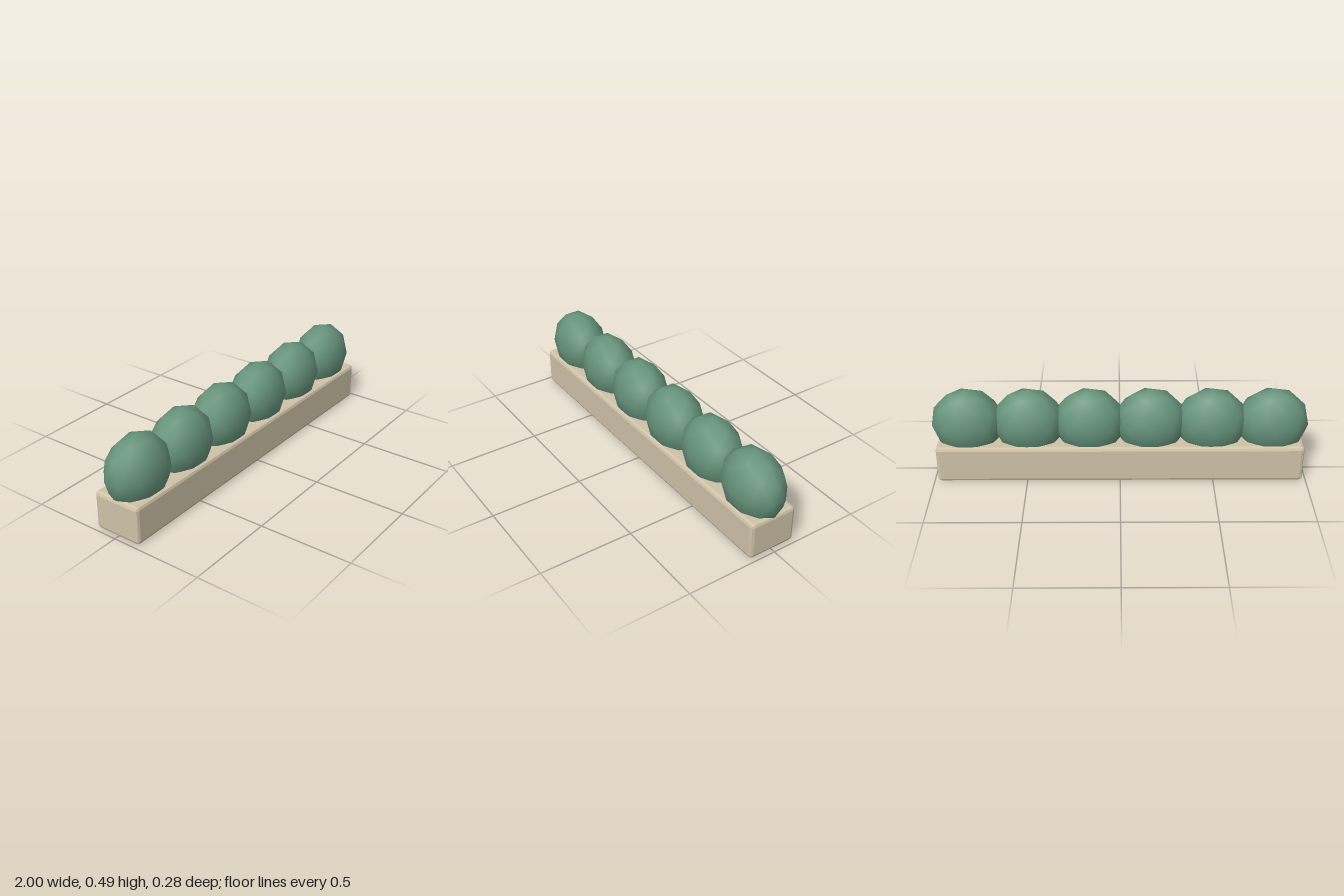
import * as THREE from 'three';
import { RoundedBoxGeometry } from 'three/addons/geometries/RoundedBoxGeometry.js';

export function createModel() {
  const model = new THREE.Group();
  model.name = 'planterHedge';

  const stone = new THREE.MeshStandardMaterial({ color: 0xcfc2a8 });
  stone.name = 'sandStone';
  const foliage = new THREE.MeshStandardMaterial({ color: 0x66937b });
  foliage.name = 'foliageGreen';

  // Long planter box with small faceted bevels
  const height = 0.207;
  const boxGeometry = new RoundedBoxGeometry(1.96, height, 0.266, 1, 0.018);
  boxGeometry.computeVertexNormals();
  const planter = new THREE.Mesh(boxGeometry, stone);
  planter.name = 'planterBox';
  planter.position.y = height / 2;
  model.add(planter);

  // Smooth low-poly bush: an icosphere turned so that one corner points straight up
  const bushGeometry = new THREE.IcosahedronGeometry(1, 1);
  bushGeometry.rotateZ(-Math.atan(2 / (1 + Math.sqrt(5))));
  bushGeometry.scale(0.1945, 0.19, 0.139);

  // Row of six overlapping bushes
  const count = 6;
  const spacing = 0.326;
  for (let i = 0; i < count; i++) {
    const bush = new THREE.Mesh(bushGeometry, foliage);
    bush.name = `bush${i + 1}`;
    bush.position.set((i - (count - 1) / 2) * spacing, 0.3, 0);
    model.add(bush);
  }

  return model;
}
